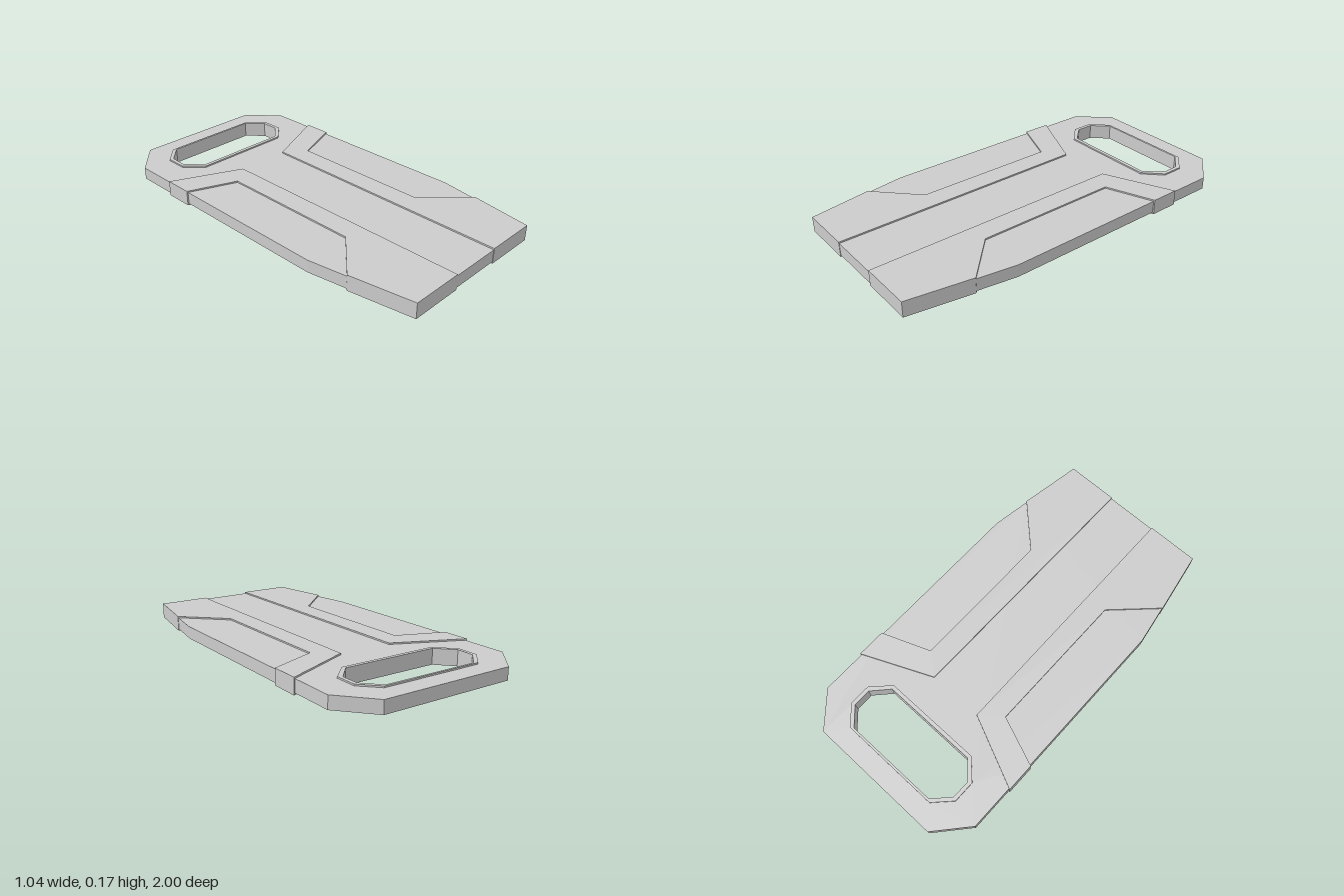
import * as THREE from 'three';

const material = new THREE.MeshStandardMaterial({ color: 0xcccccc });

// Full outline from its right half, mirrored across x
const mirrored = (half) => [...half, ...half.map(([x, z]) => [-x, z]).reverse()];
const toVectors = (pts) => pts.map(([x, z]) => new THREE.Vector2(x, z));

// Horizontal slab from an (x, z) outline, between two heights
function slab(name, outline, bottom, top, hole) {
  const shape = new THREE.Shape(toVectors(outline));
  if (hole) shape.holes.push(new THREE.Path(toVectors(hole)));
  const geo = new THREE.ExtrudeGeometry(shape, { depth: top - bottom, bevelEnabled: false });
  geo.rotateX(Math.PI / 2).translate(0, top, 0);
  const mesh = new THREE.Mesh(geo, material);
  mesh.name = name;
  return mesh;
}

// One end of the underside grip: a rounded elbow with a tapered gusset
function gripLeg(name) {
  const leg = new THREE.Group();
  leg.name = name;
  const path = new THREE.CatmullRomCurve3([
    [0.1, 0.168], [0.07, 0.164], [0.044, 0.152], [0.031, 0.132], [0.03, 0.11],
  ].map(([y, z]) => new THREE.Vector3(0, y, z)));
  const elbow = new THREE.Mesh(new THREE.TubeGeometry(path, 16, 0.029, 20), material);
  elbow.name = 'gripElbow';
  const cap = new THREE.Mesh(new THREE.CircleGeometry(0.029, 20), material);
  cap.name = 'gripElbowCap';
  cap.position.set(0, 0.03, 0.11);
  cap.rotation.y = Math.PI;
  const profile = mirrored([[0.026, 0.03], [0.05, 0.037], [0.056, 0.095]]);
  const gussetGeo = new THREE.ExtrudeGeometry(new THREE.Shape(toVectors(profile)), { depth: 0.042, bevelEnabled: false });
  const gusset = new THREE.Mesh(gussetGeo.translate(0, 0, 0.112), material);
  gusset.name = 'gripGusset';
  leg.add(elbow, cap, gusset);
  return leg;
}

export function createModel() {
  const model = new THREE.Group();
  model.name = 'plate';

  // Core slab with the handle opening
  const rimOuter = mirrored([[0.275, -0.893], [0.363, -0.803], [0.363, -0.685], [0.27, -0.592]]);
  const rimInner = mirrored([[0.26, -0.881], [0.342, -0.795], [0.344, -0.7], [0.262, -0.612]]);
  const core = mirrored([[0.363, -0.997], [0.514, -0.826], [0.514, -0.43], [0.514, 0.45], [0.48, 0.66], [0.422, 0.995]]);
  model.add(slab('coreSlab', core, 0.093, 0.159, rimOuter));
  model.add(slab('handleRim', rimOuter, 0.084, 0.167, rimInner));

  // Raised bands down both sides, standing proud above and below
  const band = [
    [0.52, -0.588], [0.148, -0.423], [0.142, 0.997], [0.424, 0.997],
    [0.482, 0.66], [0.262, 0.448], [0.262, -0.333], [0.52, -0.433],
  ];
  for (const [side, name] of [[1, 'leftBand'], [-1, 'rightBand']]) {
    model.add(slab(name, band.map(([x, z]) => [side * x, z]), 0.084, 0.167));
  }

  // Small grip under the plate
  const grip = new THREE.Group();
  grip.name = 'undersideGrip';
  const front = gripLeg('frontGripLeg');
  const back = gripLeg('backGripLeg');
  back.rotation.y = Math.PI;
  const bar = new THREE.Mesh(new THREE.CylinderGeometry(0.022, 0.022, 0.24, 20), material);
  bar.name = 'gripBar';
  bar.rotation.x = Math.PI / 2;
  bar.position.y = 0.031;
  grip.add(front, back, bar);
  grip.position.z = -0.265;
  model.add(grip);

  // The whole plate sits very slightly turned
  model.rotation.y = 0.009;
  const root = new THREE.Group();
  root.name = 'model';
  root.add(model);
  return root;
}
